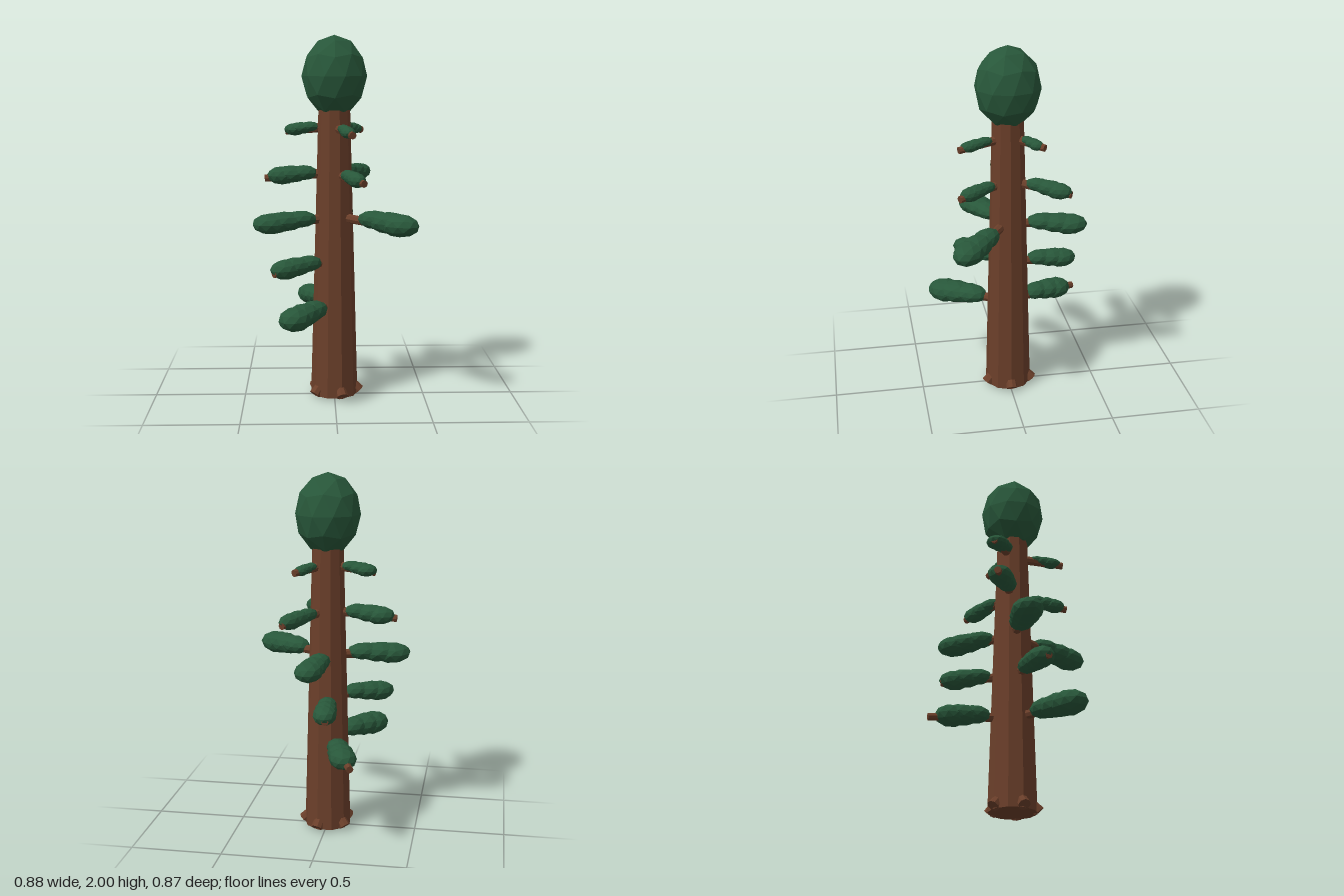
import * as THREE from 'three';

const bark = new THREE.MeshStandardMaterial({ color: 0x6b3f2a, flatShading: true });
const leaf = new THREE.MeshStandardMaterial({ color: 0x28573a, flatShading: true });

function add(parent, name, geometry, material) {
  const mesh = new THREE.Mesh(geometry, material);
  mesh.name = name;
  parent.add(mesh);
  return mesh;
}

// Faceted ball with a vertex at the top
const ball = new THREE.IcosahedronGeometry(1, 1).rotateX(-Math.atan((1 + Math.sqrt(5)) / 2));

// Tapered round stick between two points
function stick(parent, name, from, to, r0, r1, sides = 8) {
  const dir = to.clone().sub(from);
  const mesh = add(parent, name, new THREE.CylinderGeometry(r1, r0, dir.length(), sides), bark);
  mesh.position.copy(from).addScaledVector(dir, 0.5);
  mesh.quaternion.setFromUnitVectors(new THREE.Vector3(0, 1, 0), dir.normalize());
}

// Branch along local +x: stick plus overlapping leaf clumps
function branch({ y, angle, tip, start, end, width, height }) {
  const group = new THREE.Group();
  group.name = 'branch';
  const droop = 0.05 * tip;
  stick(group, 'branchWood', new THREE.Vector3(0.05, 0.01, 0),
    new THREE.Vector3(tip, -droop, 0), 0.026, 0.02);
  const span = end - start;
  // centre and half-length as fractions of the leafy span, then thickness
  const clumps = [[0.28, 0.28, 0.82, 0.012], [0.52, 0.34, 0.95, 0.004], [0.7, 0.3, 1, -0.004]];
  clumps.forEach(([c, half, thick, lift], i) => {
    const clump = add(group, 'leafClump', ball, leaf);
    clump.position.set(start + c * span, lift, (i - 1) * 0.06 * width);
    clump.scale.set(half * span, height * thick, width * thick);
    clump.rotation.x = i * 1.0 * Math.PI;
  });
  group.position.y = y;
  group.rotation.y = -THREE.MathUtils.degToRad(angle);
  return group;
}

export function createModel() {
  const model = new THREE.Group();
  model.name = 'tree';

  // Trunk
  const trunk = add(model, 'trunk', new THREE.CylinderGeometry(0.085, 0.13, 1.63, 10), bark);
  trunk.position.y = 0.83;
  trunk.rotation.y = Math.PI / 2;

  // Root stubs around the base
  for (let i = 0; i < 5; i++) {
    const a = (i * 2 * Math.PI) / 5;
    const at = (r, y) => new THREE.Vector3(r * Math.cos(a), y, r * Math.sin(a));
    stick(model, 'root', at(0.085, 0.085), at(0.136, 0.026), 0.024, 0.033);
  }

  // Crown
  const crown = add(model, 'crown', ball, leaf);
  crown.position.y = 1.78;
  crown.scale.set(0.178, 0.22, 0.178);

  // Branch whorls: height, compass angle, wood tip, leaf start and end, half width, half height
  const branches = [
    [0.52, 122, 0.46, 0.13, 0.5, 0.085, 0.065],
    [0.52, 246, 0.455, 0.12, 0.42, 0.075, 0.058],
    [0.76, 143, 0.41, 0.1, 0.42, 0.07, 0.055],
    [0.76, 263, 0.39, 0.11, 0.4, 0.065, 0.052],
    [1.005, 37, 0.49, 0.16, 0.54, 0.08, 0.062],
    [1.0, 157, 0.43, 0.11, 0.475, 0.085, 0.057],
    [1.0, 277, 0.4, 0.1, 0.44, 0.075, 0.055],
    [1.24, 62, 0.32, 0.09, 0.31, 0.045, 0.04],
    [1.245, 182, 0.38, 0.09, 0.37, 0.066, 0.05],
    [1.245, 302, 0.365, 0.1, 0.37, 0.05, 0.045],
    [1.49, 72, 0.29, 0.09, 0.28, 0.038, 0.03],
    [1.495, 192, 0.27, 0.08, 0.28, 0.06, 0.034],
    [1.495, 312, 0.23, 0.08, 0.22, 0.035, 0.028],
  ];
  for (const [y, angle, tip, start, end, width, height] of branches) {
    model.add(branch({ y, angle, tip, start, end, width, height }));
  }
  return model;
}
